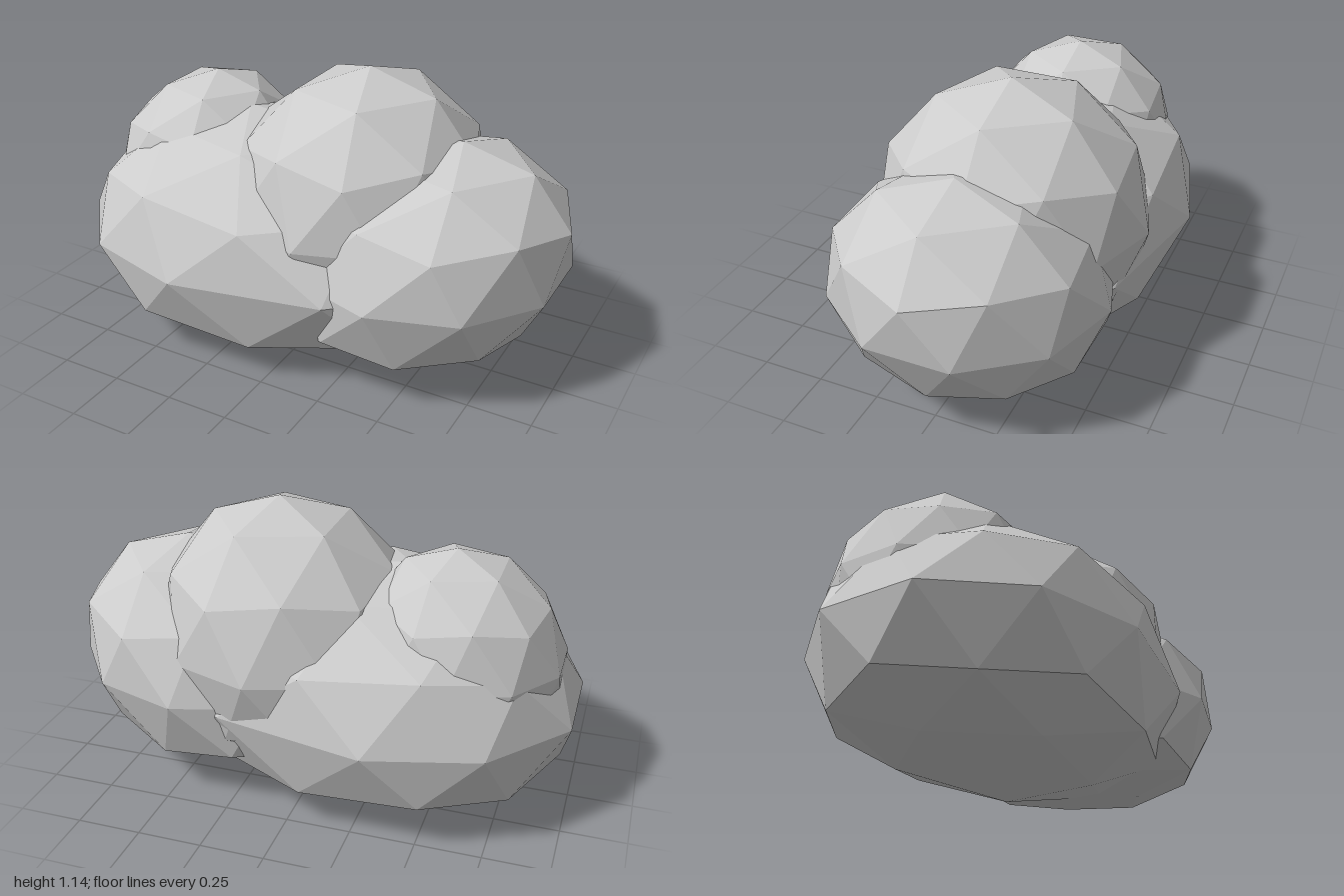
import * as THREE from 'three';

const material = new THREE.MeshStandardMaterial({ color: 0xcccccc, flatShading: true });

// A faceted puff: 80-sided ball with a vertex on top, stretched, leaned, tapered upwards and flattened underneath.
function puff({ name, centre, radii, lean = 0, stretch = 1, taper = 0, flatten = 1 }) {
  const geometry = new THREE.IcosahedronGeometry(1, 1);
  geometry.rotateZ(-Math.atan(2 / (1 + Math.sqrt(5))));
  const p = geometry.attributes.position;
  for (let i = 0; i < p.count; i++) {
    let x = p.getX(i), y = p.getY(i);
    const z = p.getZ(i);
    if (x > 0) x *= stretch;
    if (y > 0) x *= 1 - taper * y;
    const shift = lean * y;
    if (y < -0.53) y = -0.53 + (y + 0.53) * flatten;
    p.setXYZ(i, x * radii[0] + shift, y * radii[1], z * radii[2]);
  }
  geometry.computeVertexNormals();
  const mesh = new THREE.Mesh(geometry, material);
  mesh.name = name;
  mesh.position.set(...centre);
  return mesh;
}

export function createModel() {
  const group = new THREE.Group();
  group.name = 'cloud';
  group.add(
    // wide base, drawn out towards the other puffs
    puff({ name: 'basePuff', centre: [-0.32, 0.41, -0.005], radii: [0.715, 0.505, 0.63], lean: -0.01, stretch: 1.4, taper: 0.12, flatten: 0.6 }),
    // tall centre
    puff({ name: 'middlePuff', centre: [0.13, 0.59, -0.055], radii: [0.525, 0.55, 0.535], lean: 0.04, flatten: 0.7 }),
    // leaning outwards at the side
    puff({ name: 'leftPuff', centre: [0.44, 0.44, -0.02], radii: [0.56, 0.49, 0.54], lean: 0.13, flatten: 0.33 }),
    // small one on the base
    puff({ name: 'smallPuff', centre: [-0.57, 0.61, -0.06], radii: [0.385, 0.4, 0.395], lean: 0.05 }),
  );
  return group;
}
